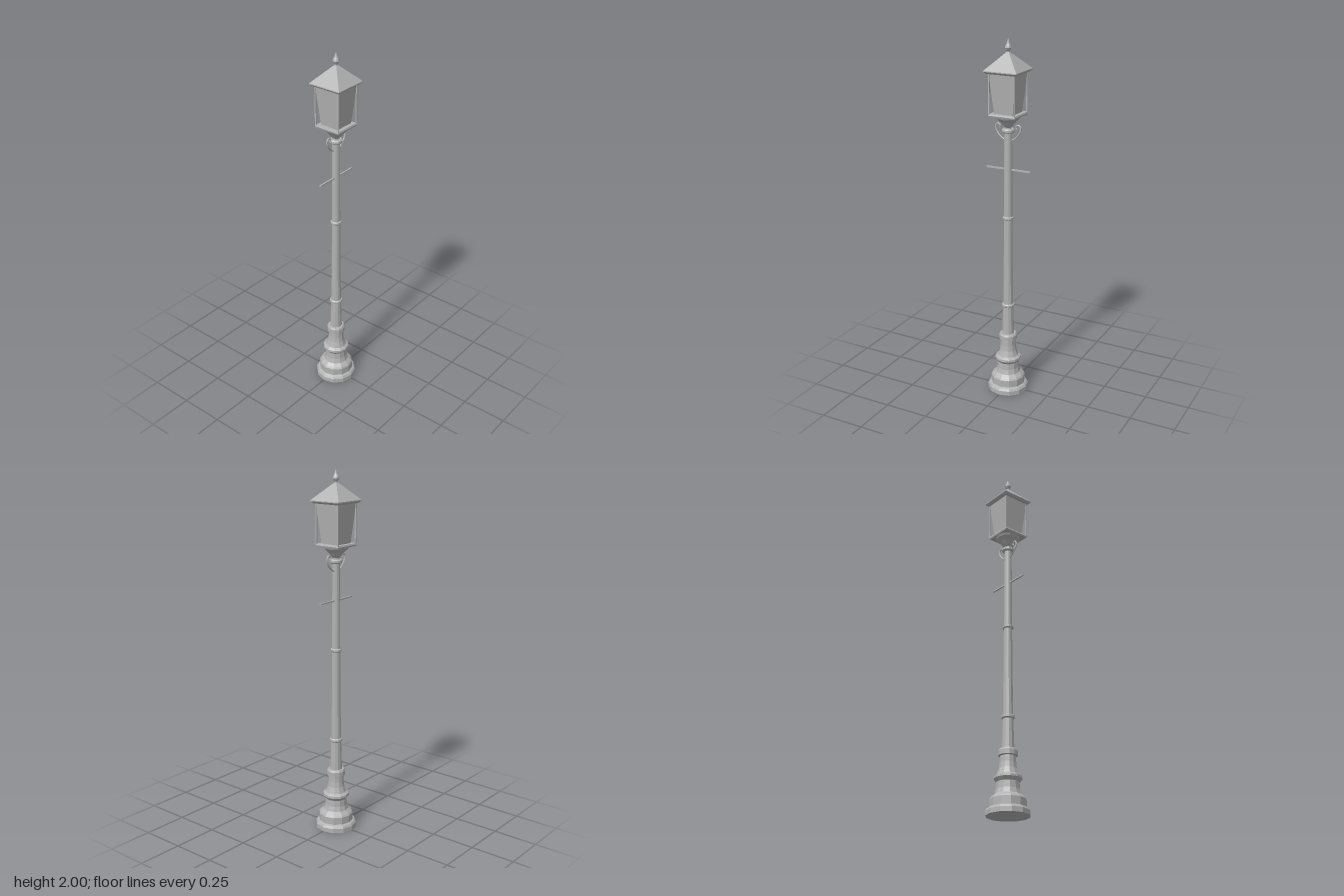
import * as THREE from 'three';

export function createModel() {
  const group = new THREE.Group();
  const iron = new THREE.MeshStandardMaterial({ color: 0xb2b2b2, flatShading: true });
  iron.name = 'greyIron';

  const add = (name, geometry, x = 0, y = 0, z = 0) => {
    const mesh = new THREE.Mesh(geometry, iron);
    mesh.name = name;
    mesh.position.set(x, y, z);
    group.add(mesh);
    return mesh;
  };
  const lathe = (name, points, sides = 12) =>
    add(name, new THREE.LatheGeometry(points.map(p => new THREE.Vector2(...p)), sides));
  // Square frustum given by half widths, with sides facing the axes
  const frustum = (name, top, bottom, y0, y1) => {
    const g = new THREE.CylinderGeometry(top * Math.SQRT2, bottom * Math.SQRT2, y1 - y0, 4);
    g.rotateY(Math.PI / 4);
    return add(name, g, 0, (y0 + y1) / 2, 0);
  };

  // Stepped pedestal
  lathe('pedestal', [
    [0, 0], [0.115, 0], [0.115, 0.025], [0.108, 0.036], [0.096, 0.042], [0.096, 0.083],
    [0.09, 0.092], [0.07, 0.108], [0.062, 0.135], [0.06, 0.172], [0.074, 0.19], [0.073, 0.202],
    [0.058, 0.212], [0.047, 0.245], [0.043, 0.275], [0.042, 0.308], [0.051, 0.312],
    [0.051, 0.337], [0.045, 0.347], [0, 0.347],
  ]);

  // Tapered post and its collars
  lathe('post', [[0.034, 0.345], [0.028, 0.515], [0.025, 0.75], [0.023, 1.035], [0.021, 1.52]]);
  for (const [y, r, h] of [[0.52, 0.036, 0.02], [1.037, 0.03, 0.018], [1.522, 0.034, 0.022]]) {
    lathe('collar', [[0.018, y - h / 2], [r - 0.005, y - h / 2], [r, y - h / 4],
      [r, y + h / 4], [r - 0.005, y + h / 2], [0.015, y + h / 2]]);
  }

  // Ladder bar
  add('ladderBar', new THREE.BoxGeometry(0.26, 0.008, 0.009), 0, 1.31, 0);

  // Scroll brackets
  for (const s of [-1, 1]) {
    const curve = new THREE.CatmullRomCurve3([
      [0.018, 1.47], [0.037, 1.48], [0.058, 1.5], [0.072, 1.525], [0.07, 1.549],
      [0.056, 1.555], [0.046, 1.543], [0.05, 1.533],
    ].map(([x, y]) => new THREE.Vector3(s * x, y, 0)));
    add('scrollBracket', new THREE.TubeGeometry(curve, 20, 0.0045, 6));
  }

  // Lantern cup and base frame
  lathe('lanternCup', [[0.018, 1.52], [0.018, 1.54], [0.028, 1.55], [0.045, 1.572],
    [0.064, 1.59], [0.07, 1.602]]);
  frustum('lanternBase', 0.077, 0.074, 1.6, 1.608);
  frustum('lanternSill', 0.074, 0.077, 1.608, 1.616);

  // Tapered glass body and upright corner posts
  frustum('lanternGlass', 0.075, 0.054, 1.614, 1.83);
  for (const x of [-1, 1]) for (const z of [-1, 1]) {
    add('cornerPost', new THREE.BoxGeometry(0.007, 0.218, 0.007), x * 0.073, 1.722, z * 0.073);
  }

  // Roof with eaves
  frustum('eavesUnderside', 0.095, 0.083, 1.825, 1.836);
  frustum('eaves', 0.095, 0.095, 1.836, 1.841);
  frustum('roof', 0.006, 0.095, 1.841, 1.931);

  // Finial
  lathe('finial', [[0.008, 1.922], [0.008, 1.936], [0.012, 1.941], [0.018, 1.952],
    [0.016, 1.96], [0.009, 1.974], [0, 2]], 8);

  return group;
}
